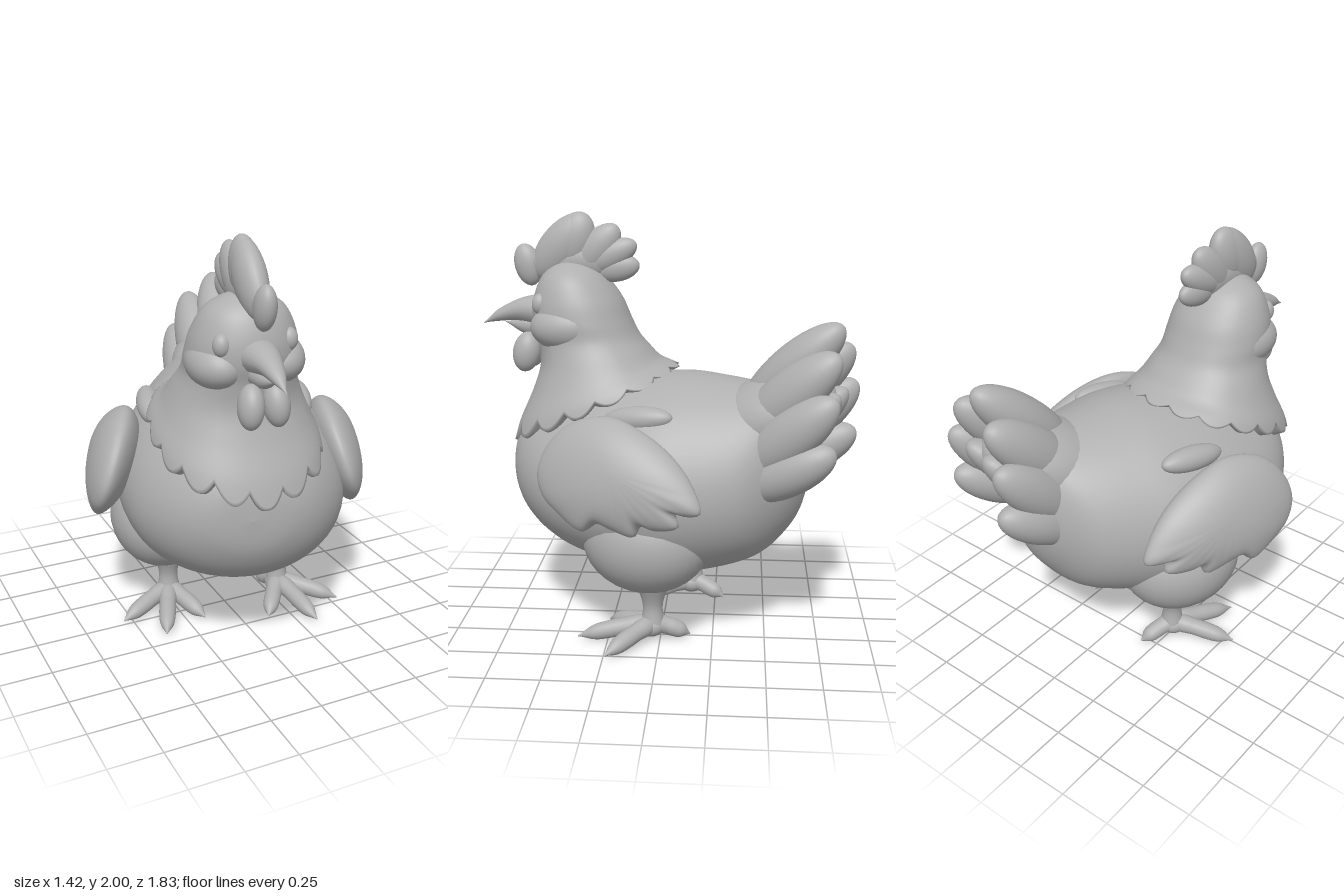
import * as THREE from 'three';
import { mergeVertices } from 'three/addons/utils/BufferGeometryUtils.js';

const V = (x, y, z) => new THREE.Vector3(x, y, z);

// Weld seams and give smooth normals
function smooth(geo) {
  geo.deleteAttribute('uv');
  geo.deleteAttribute('normal');
  const g = mergeVertices(geo, 1e-4);
  g.computeVertexNormals();
  return g;
}

// Interpolate smoothly down a table of section rows, t = 0..1
function section(rows, t) {
  const n = rows.length - 1, i = Math.min(Math.floor(t * n), n - 1), f = t * n - i;
  const at = k => rows[Math.max(0, Math.min(n, k))];
  return rows[0].map((_, c) => {
    const a = at(i - 1)[c], b = at(i)[c], d = at(i + 1)[c], e = at(i + 2)[c];
    return b + 0.5 * f * (d - a + f * (2 * a - 5 * b + 4 * d - e + f * (3 * (b - d) + e - a)));
  });
}

// Surface skinned over closed rings: fn(angle, v) gives a point
function loft(nu, nv, fn) {
  const pos = [], idx = [];
  for (let j = 0; j <= nv; j++)
    for (let i = 0; i < nu; i++) pos.push(...fn((i / nu) * Math.PI * 2, j / nv));
  for (let j = 0; j < nv; j++)
    for (let i = 0; i < nu; i++) {
      const a = j * nu + i, b = j * nu + ((i + 1) % nu), c = a + nu, d = b + nu;
      idx.push(a, c, b, b, c, d);
    }
  const g = new THREE.BufferGeometry();
  g.setAttribute('position', new THREE.Float32BufferAttribute(pos, 3));
  g.setIndex(idx);
  g.computeVertexNormals();
  return g;
}

// Curved tube whose radius follows a list of values
function taper(points, radii) {
  const curve = new THREE.CatmullRomCurve3(points.map(p => V(...p)));
  const ts = 24, rs = 16, g = new THREE.TubeGeometry(curve, ts, 1, rs);
  const rad = new THREE.SplineCurve(radii.map((r, i) => new THREE.Vector2(i, r)));
  const p = g.attributes.position, v = V(0, 0, 0);
  for (let i = 0; i < p.count; i++) {
    const t = Math.floor(i / (rs + 1)) / ts, c = curve.getPointAt(t);
    v.fromBufferAttribute(p, i).sub(c).multiplyScalar(Math.max(0.0005, rad.getPoint(t).y)).add(c);
    p.setXYZ(i, v.x, v.y, v.z);
  }
  return smooth(g);
}

export function createModel() {
  const plaster = new THREE.MeshStandardMaterial({ color: 0xb0b0b0 });
  plaster.name = 'plaster grey';
  const root = new THREE.Group();
  root.name = 'hen';

  const add = (parent, name, geo) => {
    const m = new THREE.Mesh(geo, plaster);
    m.name = name;
    parent.add(m);
    return m;
  };
  const blob = (parent, name, pos, radii) => {
    const m = add(parent, name, new THREE.SphereGeometry(1, 32, 20));
    m.position.set(...pos);
    m.scale.set(...radii);
    return m;
  };
  // Ellipsoid running from a to b, w wide and t thick along the hint direction
  const lobe = (parent, name, a, b, w, t, hint = [1, 0, 0]) => {
    const A = V(...a), B = V(...b), m = blob(parent, name, [0, 0, 0], [w, A.distanceTo(B) / 2, t]);
    const y = B.clone().sub(A).normalize();
    const x = V(0, 0, 0).crossVectors(y, V(...hint)).normalize();
    m.quaternion.setFromRotationMatrix(new THREE.Matrix4().makeBasis(x, y, V(0, 0, 0).crossVectors(x, y)));
    m.position.copy(A.add(B).multiplyScalar(0.5));
  };

  // Trunk, turned slightly to one side
  const trunk = new THREE.Group();
  trunk.name = 'trunk';
  trunk.rotation.y = -0.297;
  root.add(trunk);

  // z, bottom, top, half width
  const bodyRows = [
    [0.735, 0.82, 0.82, 0], [0.71, 0.65, 0.99, 0.19], [0.6, 0.49, 1.1, 0.35], [0.4, 0.38, 1.17, 0.48],
    [0.15, 0.32, 1.24, 0.54], [-0.1, 0.305, 1.27, 0.545], [-0.3, 0.34, 1.26, 0.49], [-0.5, 0.42, 1.24, 0.4],
    [-0.62, 0.54, 1.23, 0.28], [-0.69, 0.68, 1.16, 0.17], [-0.72, 0.92, 0.92, 0]];
  const body = add(trunk, 'body', loft(56, 60, (a, v) => {
    const [z, lo, hi, w] = section(bodyRows, v);
    return [w * Math.cos(a) * (1 - 0.08 * Math.sin(a)), (lo + hi) / 2 + ((hi - lo) / 2) * Math.sin(a), z];
  }));
  body.position.x = 0.015;
  lobe(trunk, 'rump', [0.02, 0.92, -0.2], [0.06, 1.24, -0.84], 0.25, 0.2, [0, 1, 0]);

  // Tail fan folded like an upturned V
  const tail = new THREE.Group();
  tail.name = 'tail';
  tail.position.x = 0.06;
  trunk.add(tail);
  lobe(tail, 'topTailFeather', [0, 1.12, -0.42], [0, 1.54, -0.87], 0.11, 0.11);
  for (const s of [-1, 1]) {
    lobe(tail, 'upperTailFeather', [s * 0.1, 1.02, -0.43], [s * 0.14, 1.43, -0.89], 0.12, 0.1, [s, 0.5, 0]);
    lobe(tail, 'middleTailFeather', [s * 0.17, 0.87, -0.47], [s * 0.215, 1.25, -0.9], 0.115, 0.095, [s, 0.2, 0]);
    lobe(tail, 'lowerTailFeather', [s * 0.19, 0.78, -0.48], [s * 0.215, 1.02, -0.9], 0.105, 0.095, [s, 0, 0]);
    lobe(tail, 'innerTailFeather', [s * 0.06, 0.88, -0.5], [s * 0.08, 1.24, -0.88], 0.12, 0.09, [0, 1, 0]);
  }

  // Wing outline (z, y): tail tip, over the top, round the front, back along the feather tips
  const outline = new THREE.CatmullRomCurve3([
    [-0.21, 0.77], [-0.17, 0.87], [-0.07, 0.99], [0.08, 1.09], [0.25, 1.145], [0.42, 1.1], [0.52, 0.99],
    [0.555, 0.86], [0.52, 0.76], [0.44, 0.69], [0.31, 0.62], [0.25, 0.665], [0.17, 0.645], [0.07, 0.63],
    [0.05, 0.68], [-0.02, 0.67], [-0.12, 0.7], [-0.1, 0.755], [-0.15, 0.75]
  ].map(([z, y]) => V(0, y - 0.9, (z - 0.17) * 1.06)), true);
  const wingGeo = new THREE.SphereGeometry(1, 120, 28);
  const wp = wingGeo.attributes.position;
  for (let i = 0; i < wp.count; i++) {
    const side = wp.getY(i), r = Math.sqrt(Math.max(0, 1 - side * side));
    const u = Math.abs(wingGeo.attributes.uv.getX(i)) % 1, o = V(0, 0, 0);
    // Feather notches fade out away from the rim
    for (const k of [-2, -1, 0, 1, 2]) o.addScaledVector(outline.getPointAt((u + 1 + k * 0.04) % 1), 0.2);
    o.lerp(outline.getPointAt(u), r ** 6);
    wp.setXYZ(i, side * 0.12, o.y * r, o.z * r);
  }
  const wing = smooth(wingGeo);

  for (const s of [-1, 1]) {
    const half = new THREE.Group();
    half.name = s > 0 ? 'leftSide' : 'rightSide';
    half.scale.x = s;
    trunk.add(half);
    const w = add(half, 'wing', wing);
    w.position.set(s > 0 ? 0.53 : 0.54, 0.9, 0.01);
    w.rotation.set(0, s > 0 ? -0.04 : 0.11, 0.3);
    lobe(half, 'shoulderFeather', [0.36, 1.09, 0.16], [0.37, 1.13, -0.18], 0.06, 0.06);
    blob(half, 'thigh', [0.315, 0.53, -0.03], [0.255, 0.26, 0.31]);

    // Leg and toes
    const leg = new THREE.Group();
    leg.name = 'leg';
    leg.position.set(0.285, 0, -0.05);
    half.add(leg);
    add(leg, 'shank', taper([[0, 0.4, 0], [0, 0.28, 0], [0, 0.18, 0], [0, 0.07, 0]], [0.14, 0.085, 0.048, 0.06]));
    const foot = new THREE.Group();
    foot.name = 'foot';
    foot.rotation.y = s > 0 ? 0.42 : 0.12;
    leg.add(foot);
    blob(foot, 'ankle', [0, 0.075, 0.01], [0.065, 0.055, 0.07]);
    for (const [turn, len] of [[0, 0.36], [-0.75, 0.28], [0.75, 0.32], [Math.PI, 0.18]]) {
      const toe = add(foot, 'toe', taper(
        [[0, 0.09, -0.02], [0, 0.075, len * 0.3], [0, 0.052, len * 0.65], [0, 0.025, len]],
        [0.03, 0.046, 0.042, 0.042, 0.034, 0.003]));
      toe.rotation.y = turn;
    }
  }

  // Head, neck and hackle
  const head = new THREE.Group();
  head.name = 'head';
  head.position.set(-0.11, 0, 0.35);
  head.rotation.y = -0.09;
  root.add(head);

  // front y, front z, back y, back z, half width
  const neckRows = [
    [1.78, 0.1, 1.78, 0.1, 0], [1.76, 0.18, 1.75, 0.01, 0.1], [1.7, 0.25, 1.7, -0.06, 0.18],
    [1.6, 0.29, 1.6, -0.135, 0.23], [1.5, 0.295, 1.5, -0.18, 0.25], [1.4, 0.27, 1.42, -0.22, 0.255],
    [1.28, 0.26, 1.36, -0.27, 0.29], [1.15, 0.3, 1.31, -0.32, 0.33], [1.0, 0.365, 1.285, -0.38, 0.375],
    [0.88, 0.4, 1.265, -0.43, 0.395]];
  add(head, 'headAndHackle', loft(192, 60, (a, v) => {
    const scallop = Math.abs(Math.cos(8 * a)), front = Math.max(0, Math.cos(a)) ** 16;
    const edge = 0.9 + 0.065 * scallop + 0.035 * front;
    const k = Math.min(1, v / 0.95);
    const [yf, zf, yb, zb, w] = section(neckRows, k * edge);
    const f = (1 + Math.cos(a)) / 2, mid = (zf + zb) / 2;
    // Fuller diagonals, then a turned-in lip
    const r = (1 + 0.04 * k * Math.sin(2 * a) ** 2) * (v > 0.95 ? 1 - (v - 0.95) * 2.4 : 1);
    const drop = v > 0.95 ? (v - 0.95) * 0.5 : 0;
    return [w * Math.sin(a) * r, yb + (yf - yb) * f - drop, mid + (zf - mid) * Math.cos(a) * r];
  }));

  // Comb
  lobe(head, 'combFront', [0, 1.65, 0.3], [0, 1.85, 0.35], 0.065, 0.048);
  lobe(head, 'combBase', [0, 1.76, 0.34], [0, 1.78, -0.14], 0.095, 0.06);
  lobe(head, 'combPeak', [0, 1.69, 0.28], [0, 1.985, 0.03], 0.105, 0.07);
  lobe(head, 'combCrest', [0, 1.72, 0.16], [0, 2.0, 0.04], 0.1, 0.065);
  lobe(head, 'combMiddle', [0, 1.7, 0.1], [0, 1.94, -0.12], 0.085, 0.06);
  lobe(head, 'combBack', [0, 1.73, 0.06], [0, 1.86, -0.21], 0.07, 0.055);
  lobe(head, 'combEnd', [0, 1.72, 0.0], [0, 1.76, -0.225], 0.065, 0.045);

  // Beak
  const upper = add(head, 'upperBeak', taper(
    [[0, 1.53, 0.22], [0, 1.53, 0.36], [0, 1.505, 0.46], [0, 1.46, 0.56]], [0.085, 0.07, 0.048, 0.028, 0.002]));
  upper.scale.x = 1.15;
  add(head, 'lowerBeak', taper([[0, 1.455, 0.22], [0, 1.455, 0.36], [0, 1.47, 0.45]], [0.06, 0.045, 0.002]));

  // Cheeks, closed eyes and wattles
  for (const s of [-1, 1]) {
    blob(head, 'cheek', [s * 0.135, 1.47, 0.1], [0.13, 0.115, 0.18]);
    const eye = blob(head, 'eye', [s * 0.15, 1.58, 0.225], [0.04, 0.052, 0.042]);
    eye.rotation.y = s * 0.6;
    lobe(head, 'wattle', [s * 0.05, 1.43, 0.31], [s * 0.065, 1.235, 0.345], 0.068, 0.058);
  }
  return root;
}
